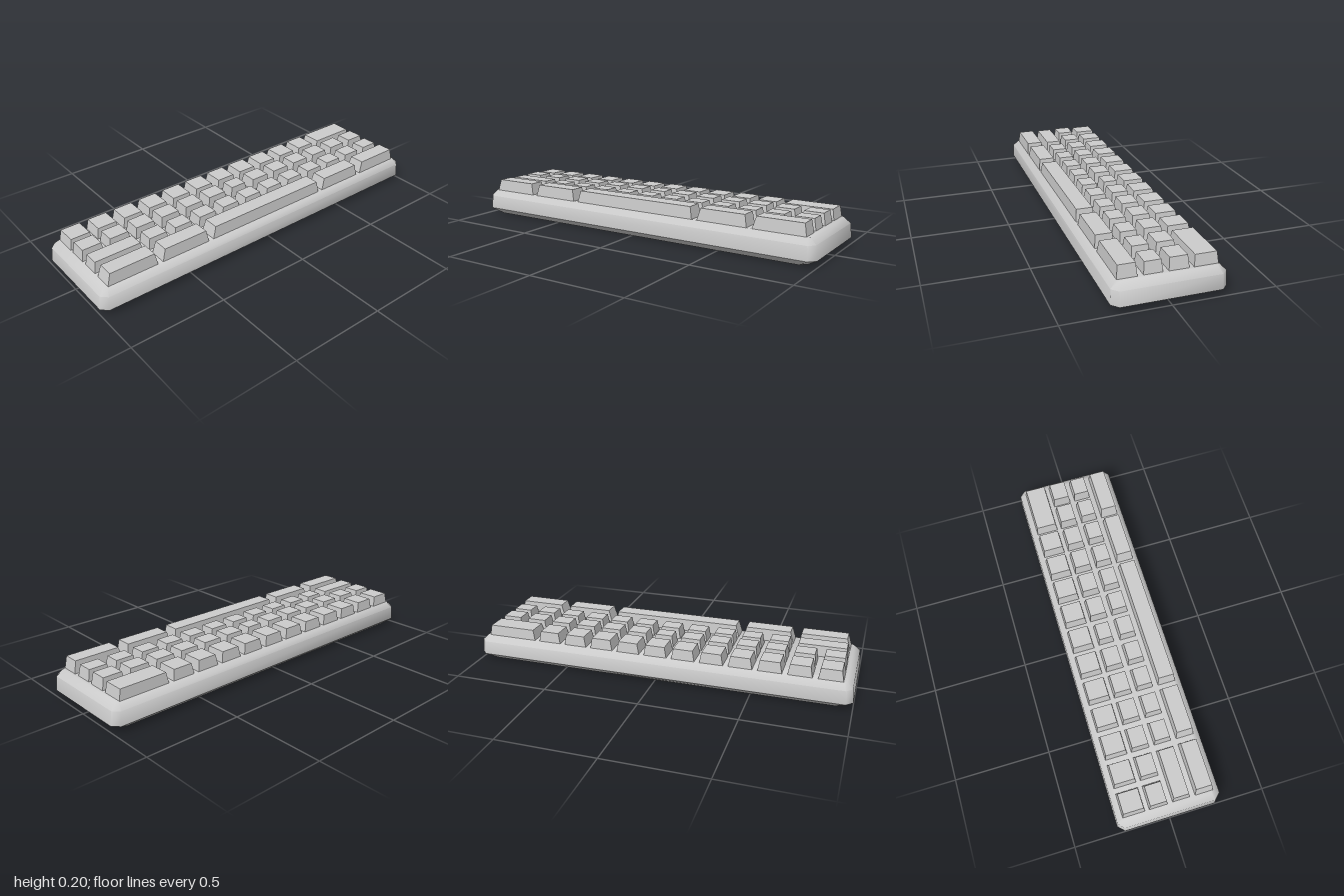
import * as THREE from 'three';
import { toCreasedNormals } from 'three/addons/utils/BufferGeometryUtils.js';

// Closed solid from stacked rings; every ring is { y, pts: [[x, z], ...] }, bottom first
function loft(rings, crease) {
  const n = rings[0].pts.length, pos = [], idx = [];
  for (const r of rings) for (const [x, z] of r.pts) pos.push(x, r.y, z);
  for (let k = 0; k < rings.length - 1; k++) {
    for (let i = 0; i < n; i++) {
      const a = k * n + i, b = k * n + (i + 1) % n;
      idx.push(a, a + n, b, b, a + n, b + n);
    }
  }
  const top = (rings.length - 1) * n;
  for (let i = 1; i < n - 1; i++) {
    idx.push(0, i, i + 1);
    idx.push(top, top + i + 1, top + i);
  }
  const g = new THREE.BufferGeometry();
  g.setAttribute('position', new THREE.Float32BufferAttribute(pos, 3));
  g.setIndex(idx);
  return toCreasedNormals(g, crease);
}

// Rectangle with cut corners, half sizes w and d
const cutRect = (w, d, c) => [
  [w, -d + c], [w, d - c], [w - c, d], [-w + c, d],
  [-w, d - c], [-w, -d + c], [-w + c, -d], [w - c, -d],
];
const rect = (x0, x1, z0, z1) => [[x1, z0], [x1, z1], [x0, z1], [x0, z0]];

export function createModel() {
  const group = new THREE.Group();
  const mat = new THREE.MeshStandardMaterial({ color: 0xcccccc });

  // Case: bevelled bottom, near-vertical wall, bevelled top
  const body = new THREE.Mesh(loft([
    { y: 0, pts: cutRect(0.23, 0.945, 0.03) },
    { y: 0.033, pts: cutRect(0.269, 1, 0.032) },
    { y: 0.105, pts: cutRect(0.266, 0.992, 0.03) },
    { y: 0.135, pts: cutRect(0.235, 0.96, 0.012) },
  ], 0.85), mat);
  body.name = 'case';
  group.add(body);

  // Key rows: base x range, top height, gap, z taper (back, front), key lengths from the back
  const ones = (n) => Array(n).fill(1);
  const rows = [
    { name: 'numberRow', x: [-0.235, -0.119], y: 0.19, gap: 0.025, taper: [0.01, 0.012], keys: [2, ...ones(11)] },
    { name: 'upperRow', x: [-0.098, -0.002], y: 0.194, gap: 0.026, taper: [0.012, 0.01], keys: ones(13) },
    { name: 'homeRow', x: [0.023, 0.113], y: 0.192, gap: 0.03, taper: [0.012, 0.01], keys: [...ones(11), 2] },
    { name: 'spaceRow', x: [0.14, 0.234], y: 0.197, gap: 0.026, taper: [0.012, 0.02], keys: [2, 2, 5, 2, 2] },
  ];
  const unit = 0.1475;
  for (const row of rows) {
    const rowGroup = new THREE.Group();
    rowGroup.name = row.name;
    let z = -6.5 * unit;
    row.keys.forEach((len, i) => {
      // The middle key of the upper row is a little smaller
      const s = row.name === 'upperRow' && i === 6 ? 0.006 : 0;
      const x0 = row.x[0] + s, x1 = row.x[1] - s;
      const z0 = z + row.gap / 2 + s, z1 = z + len * unit - row.gap / 2 - s;
      const key = new THREE.Mesh(loft([
        { y: 0.13, pts: rect(x0, x1, z0, z1) },
        { y: row.y, pts: rect(x0 + 0.006, x1 - 0.006, z0 + row.taper[0], z1 - row.taper[1]) },
      ], 0.3), mat);
      key.name = len > 4 ? 'spaceBar' : len > 1 ? 'wideKey' : 'key';
      rowGroup.add(key);
      z += len * unit;
    });
    group.add(rowGroup);
  }
  return group;
}
